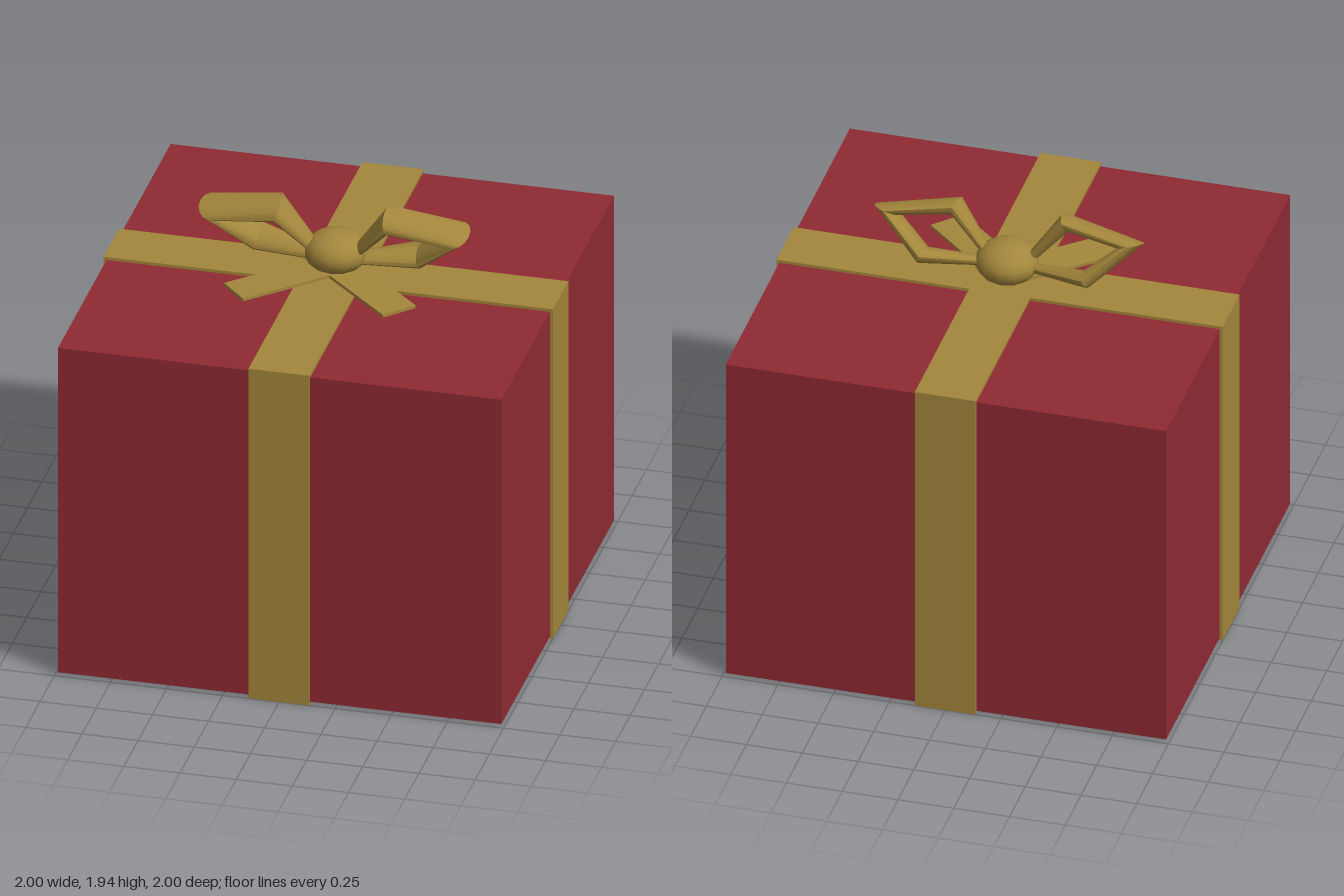
import * as THREE from 'three';
import { toCreasedNormals } from 'three/addons/utils/BufferGeometryUtils.js';

const red = new THREE.MeshStandardMaterial({ color: 0x8f2a33 });
const gold = new THREE.MeshStandardMaterial({ color: 0xa4873c, side: THREE.DoubleSide });

function add(parent, name, geometry, material, x = 0, y = 0, z = 0) {
  const mesh = new THREE.Mesh(geometry, material);
  mesh.name = name;
  mesh.position.set(x, y, z);
  parent.add(mesh);
  return mesh;
}

// Puffy ribbon loop: oval rings, mitred at each corner of a tilted path
function bowLoopGeometry(side) {
  const sides = 14;
  // corner x, y, z, half width, half thickness
  const corners = [
    [0.09, 1.70, 0.01, 0.035, 0.02],
    [0.245, 1.895, 0.05, 0.078, 0.036],
    [0.545, 1.845, 0.02, 0.078, 0.036],
    [0.365, 1.69, -0.06, 0.075, 0.036],
    [0.09, 1.67, 0.0, 0.035, 0.02],
  ];
  const points = corners.map(([x, y, z]) => new THREE.Vector3(x, y, z));
  const across = new THREE.Vector3(0, -0.4, 0.92).normalize();
  const positions = [];
  const index = [];
  corners.forEach(([, , , width, thick], i) => {
    const before = points[i].clone().sub(points[Math.max(i - 1, 0)]).normalize();
    const after = points[Math.min(i + 1, 4)].clone().sub(points[i]).normalize();
    const tangent = before.clone().add(after).normalize();
    const out = new THREE.Vector3().crossVectors(across, tangent).normalize();
    const cosine = i > 0 && i < 4 ? Math.max(tangent.dot(after), 0.6) : 1;
    for (let k = 0; k < sides; k++) {
      const a = (k / sides) * Math.PI * 2;
      const p = points[i].clone()
        .addScaledVector(across, Math.cos(a) * width)
        .addScaledVector(out, Math.sin(a) * thick / cosine);
      positions.push(p.x * side, p.y, p.z);
      if (i === 4) continue;
      const n = (k + 1) % sides;
      const [q, r, s, t] = [i * sides + k, i * sides + n, (i + 1) * sides + k, (i + 1) * sides + n];
      if (side > 0) index.push(q, r, s, r, t, s);
      else index.push(q, s, r, r, s, t);
    }
  });
  const geometry = new THREE.BufferGeometry();
  geometry.setAttribute('position', new THREE.Float32BufferAttribute(positions, 3));
  geometry.setIndex(index);
  return toCreasedNormals(geometry, 0.6);
}

export function createModel() {
  const model = new THREE.Group();
  model.name = 'giftBox';

  // Wrapped box and the two ribbons around it
  add(model, 'box', new THREE.BoxGeometry(1.974, 1.576, 1.974), red, 0, 0.8, 0);
  add(model, 'ribbonFrontToBack', new THREE.BoxGeometry(0.272, 1.602, 2), gold, 0, 0.801, 0);
  add(model, 'ribbonSideToSide', new THREE.BoxGeometry(2, 1.602, 0.272), gold, 0, 0.801, 0);

  // Bow
  const bow = new THREE.Group();
  bow.name = 'bow';
  model.add(bow);
  const knot = add(bow, 'knot', new THREE.SphereGeometry(0.142, 12, 9), gold, 0, 1.69, -0.005);
  knot.scale.y = 0.67;

  for (const side of [1, -1]) {
    const label = side > 0 ? 'left' : 'right';
    add(bow, label + 'Loop', bowLoopGeometry(side), gold);
    // Flat tail, drooping slightly towards its end
    const tail = new THREE.Group();
    tail.name = label + 'Tail';
    tail.position.set(0, 1.622, 0);
    tail.rotation.y = side * 0.82;
    bow.add(tail);
    const strip = add(tail, label + 'TailStrip', new THREE.BoxGeometry(0.168, 0.014, 0.5), gold, 0, -0.003, 0.255);
    strip.rotation.x = 0.015;
  }
  return model;
}
